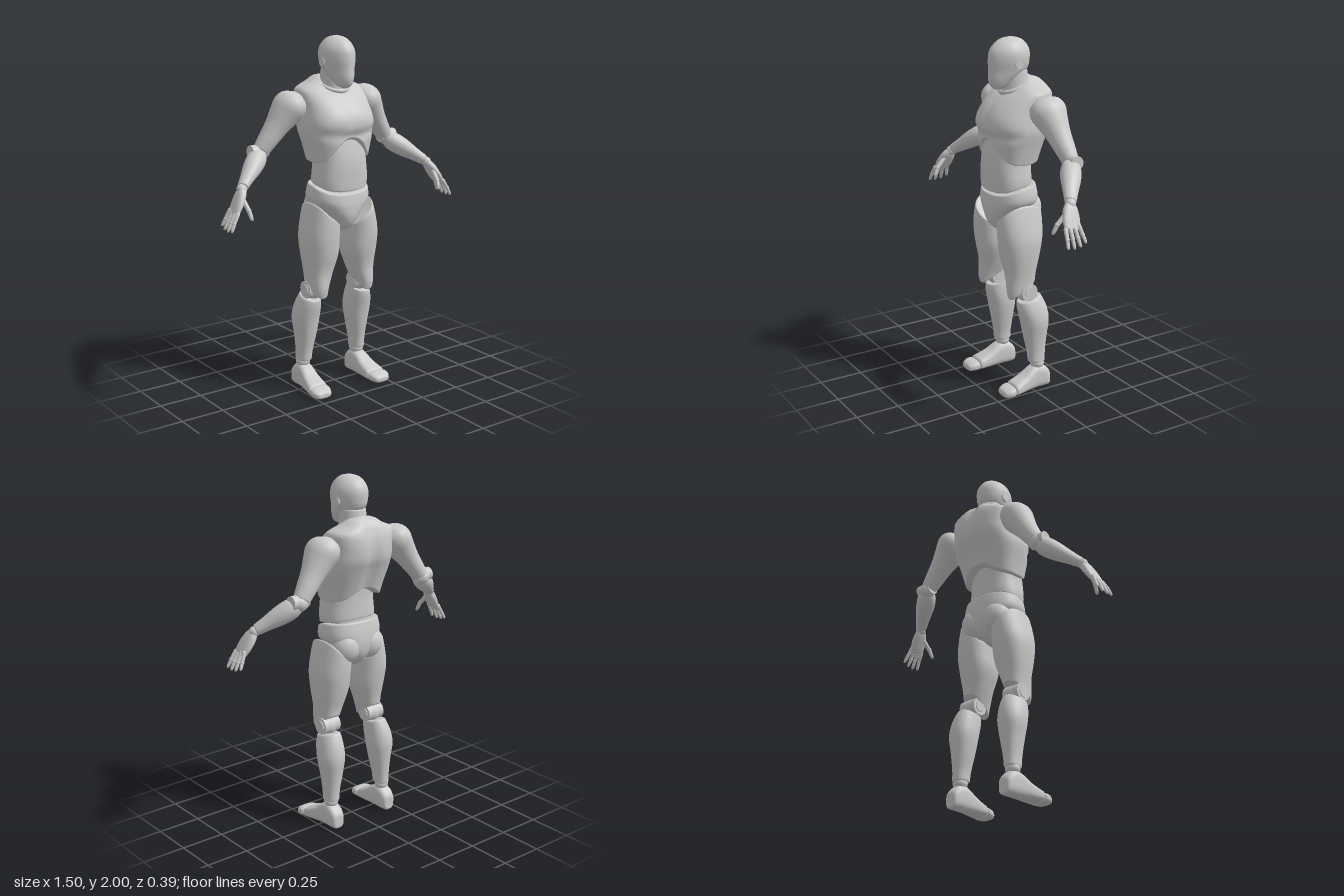
import * as THREE from 'three';

const material = new THREE.MeshStandardMaterial({ color: 0xcccccc, roughness: 0.7 });
const gauss = (v, w) => Math.exp(-((v / w) ** 2));

function add(parent, name, geometry) {
  const mesh = new THREE.Mesh(geometry, material);
  mesh.name = name;
  parent.add(mesh);
  return mesh;
}

// Smooth interpolation of section rows [key, cx, cz, rx, rz] by key.
function sample(rows, key) {
  let i = 0;
  while (i < rows.length - 2 && key > rows[i + 1][0]) i++;
  const slope = (j, c) => {
    const a = rows[Math.max(j - 1, 0)], b = rows[Math.min(j + 1, rows.length - 1)];
    return (b[c] - a[c]) / (b[0] - a[0]);
  };
  const h = rows[i + 1][0] - rows[i][0];
  const t = THREE.MathUtils.clamp((key - rows[i][0]) / h, 0, 1), t2 = t * t, t3 = t2 * t;
  return [1, 2, 3, 4].map((c) =>
    (2 * t3 - 3 * t2 + 1) * rows[i][c] + (t3 - 2 * t2 + t) * h * slope(i, c) +
    (3 * t2 - 2 * t3) * rows[i + 1][c] + (t3 - t2) * h * slope(i + 1, c));
}

// Closed body through superellipse sections stacked along y.
// lo and hi give the bottom and top rim height around the body.
function loft(rows, { n = 2, seg = 40, rings = 26, bevel = 0.006, lo, hi, warp } = {}) {
  const first = rows[0][0], last = rows[rows.length - 1][0];
  const pos = [], index = [];
  for (let i = 0; i <= rings; i++) {
    const v = (1 - Math.cos((Math.PI * i) / rings)) / 2;
    for (let j = 0; j < seg; j++) {
      const a = (j / seg) * Math.PI * 2, c = Math.cos(a), s = Math.sin(a);
      const y0 = lo ? lo(c, s) : first, y1 = hi ? hi(c, s) : last;
      const y = y0 + (y1 - y0) * v;
      const [cx, cz, rx, rz] = sample(rows, y);
      const d = Math.min(y - y0, y1 - y);
      const inset = d < bevel ? bevel - Math.sqrt(Math.max(0, bevel ** 2 - (bevel - d) ** 2)) : 0;
      const p = [
        cx + Math.max(rx - inset, 0.001) * Math.sign(c) * Math.abs(c) ** (2 / n), y,
        cz + Math.max(rz - inset, 0.001) * Math.sign(s) * Math.abs(s) ** (2 / n)];
      pos.push(...(warp ? warp(...p) : p));
    }
  }
  for (let i = 0; i < rings; i++) for (let j = 0; j < seg; j++) {
    const k = (j + 1) % seg, a = i * seg + j, b = i * seg + k;
    index.push(a, a + seg, b, b, a + seg, b + seg);
  }
  // Caps have their own corners so the rims stay crisp
  for (const ring of [0, rings]) {
    const start = pos.length / 3, centre = [0, 0, 0];
    for (let j = 0; j < seg; j++) for (let c = 0; c < 3; c++) {
      const value = pos[(ring * seg + j) * 3 + c];
      pos.push(value);
      centre[c] += value / seg;
    }
    pos.push(...centre);
    for (let j = 0; j < seg; j++) {
      const k = start + ((j + 1) % seg);
      index.push(start + seg, ...(ring ? [k, start + j] : [start + j, k]));
    }
  }
  const g = new THREE.BufferGeometry();
  g.setAttribute('position', new THREE.Float32BufferAttribute(pos, 3));
  g.setIndex(index);
  g.computeVertexNormals();
  return g;
}

// Limb from its far end to its near end; rows are [t, rx, rz].
function limb(parent, name, far, near, rows, options) {
  const a = new THREE.Vector3(...far), dir = new THREE.Vector3(...near).sub(a), len = dir.length();
  const mesh = add(parent, name, loft(rows.map(([t, rx, rz]) => [t * len, 0, 0, rx, rz]), options));
  mesh.position.copy(a);
  mesh.quaternion.setFromUnitVectors(new THREE.Vector3(0, 1, 0), dir.normalize());
  return mesh;
}

function ball(parent, name, [x, y, z], rx, ry = rx, rz = rx) {
  const g = new THREE.SphereGeometry(1, 28, 18).scale(rx, ry, rz);
  add(parent, name, g).position.set(x, y, z);
}

function disc(parent, name, [x, y, z], radius, width) {
  const g = new THREE.CylinderGeometry(radius, radius, width, 28).rotateZ(Math.PI / 2);
  add(parent, name, g).position.set(x, y, z);
}

function buildTrunk(body) {
  add(body, 'head', loft([
    [1.72, 0, 0.095, 0.015, 0.015], [1.735, 0, 0.092, 0.045, 0.042], [1.775, 0, 0.07, 0.066, 0.079],
    [1.82, 0, 0.035, 0.082, 0.113], [1.88, 0, 0.027, 0.095, 0.121], [1.93, 0, 0.024, 0.09, 0.115],
    [1.97, 0, 0.02, 0.065, 0.085], [1.99, 0, 0.018, 0.038, 0.05], [2, 0, 0.018, 0.001, 0.001],
  ], { bevel: 0, warp: (x, y, z) => [x * (1 - 1.6 * Math.max(0, z - 0.04)), y, z] }));
  add(body, 'neck', loft([
    [1.66, 0, -0.02, 0.09, 0.1], [1.73, 0, -0.012, 0.077, 0.085], [1.82, 0, 0, 0.072, 0.08]]));
  const collar = add(body, 'collar', new THREE.TorusGeometry(0.08, 0.012, 12, 40).rotateX(Math.PI / 2));
  collar.position.set(0, 1.735, -0.015);
  collar.rotation.x = 0.38;
  collar.scale.z = 1.12;

  // Chest shell with arched lower rim, breast line and spine groove
  add(body, 'chest', loft([
    [1.3, 0, 0.025, 0.168, 0.125], [1.4, 0, 0.018, 0.188, 0.148], [1.5, 0, 0.008, 0.21, 0.174],
    [1.56, 0, -0.006, 0.207, 0.184], [1.62, 0, -0.026, 0.2, 0.17], [1.68, 0, -0.052, 0.198, 0.138],
    [1.715, 0, -0.07, 0.188, 0.108], [1.745, 0, -0.08, 0.12, 0.085], [1.775, 0, -0.085, 0.07, 0.05],
    [1.785, 0, -0.085, 0.02, 0.015],
  ], {
    n: 2.6, seg: 72, rings: 44,
    lo: (c, s) => 1.32 + (s > 0 ? 0.135 : 0.07) * gauss(c, 0.55) * Math.min(1, Math.abs(s) * 2),
    warp: (x, y, z) => {
      const front = THREE.MathUtils.smoothstep(z, 0.02, 0.08);
      const back = THREE.MathUtils.smoothstep(-z, 0.06, 0.13);
      const crease = 0.014 * gauss(y - 1.465 - 0.25 * Math.abs(x) ** 1.5, 0.028);
      const cleft = 0.008 * gauss(x, 0.016) * gauss(y - 1.57, 0.09);
      return [x, y, z - front * (crease + cleft) + back * 0.018 * gauss(x, 0.035)];
    },
  }));
  add(body, 'abdomen', loft([
    [1.14, 0, 0.045, 0.152, 0.118], [1.22, 0, 0.045, 0.16, 0.122], [1.32, 0, 0.045, 0.15, 0.122],
    [1.42, 0, 0.035, 0.15, 0.115], [1.5, 0, 0.03, 0.14, 0.1],
  ], { n: 2.4, lo: (c, s) => 1.19 - 0.03 * Math.max(0, s) + 0.02 * Math.max(0, -s) }));
  add(body, 'waistJoint', loft([[1.08, 0, 0.03, 0.14, 0.11], [1.26, 0, 0.03, 0.14, 0.1]], { n: 2.3 }));
  add(body, 'pelvis', loft([
    [0.93, 0, 0.04, 0.025, 0.07], [0.96, 0, 0.035, 0.05, 0.11], [1.01, 0, 0.03, 0.09, 0.137],
    [1.07, 0, 0.027, 0.15, 0.144], [1.1, 0, 0.026, 0.176, 0.142], [1.14, 0, 0.025, 0.18, 0.137],
    [1.2, 0, 0.025, 0.168, 0.125],
  ], { n: 2.4, hi: (c, s) => 1.19 - 0.045 * Math.max(0, s) + 0.01 * Math.max(0, -s) }));
}

function buildLeg(side) {
  ball(side, 'glute', [0.08, 1.055, -0.04], 0.085, 0.095, 0.083);
  add(side, 'thigh', loft([
    [0.54, 0.155, 0.055, 0.045, 0.06], [0.6, 0.156, 0.048, 0.052, 0.08], [0.7, 0.142, 0.04, 0.076, 0.088],
    [0.8, 0.132, 0.038, 0.098, 0.111], [0.9, 0.132, 0.035, 0.102, 0.127], [1, 0.122, 0.033, 0.092, 0.132],
    [1.1, 0.113, 0.03, 0.074, 0.124],
  ], { n: 2.3, hi: (c) => 1.02 + 0.075 * c, lo: (c, s) => 0.605 - 0.05 * s }));
  ball(side, 'knee', [0.16, 0.59, 0.02], 0.05, 0.055, 0.055);
  disc(side, 'kneeDisc', [0.16, 0.595, 0.018], 0.05, 0.108);
  disc(side, 'kneeCap', [0.16, 0.595, 0.018], 0.032, 0.118);
  add(side, 'shin', loft([
    [0.16, 0.188, -0.042, 0.042, 0.05], [0.22, 0.185, -0.04, 0.045, 0.054], [0.32, 0.18, -0.036, 0.06, 0.069],
    [0.42, 0.179, -0.032, 0.074, 0.084], [0.5, 0.174, -0.016, 0.066, 0.086], [0.57, 0.165, 0, 0.05, 0.07],
  ], { n: 2.2, hi: (c, s) => 0.55 - 0.015 * s }));
  ball(side, 'ankle', [0.19, 0.15, -0.045], 0.042, 0.038, 0.04);

  // Foot and toe run along z, flat on the ground
  const shoe = (name, rows) => add(side, name, loft(
    rows.map(([z, x, w, h]) => [z, x, -h / 2, w, h / 2]), { n: 3, bevel: 0.012 }).rotateX(Math.PI / 2));
  shoe('foot', [[-0.12, 0.19, 0.036, 0.09], [-0.085, 0.19, 0.046, 0.125], [-0.04, 0.19, 0.047, 0.14],
    [0, 0.192, 0.048, 0.128], [0.05, 0.196, 0.054, 0.095], [0.13, 0.203, 0.062, 0.06]]);
  shoe('toe', [[0.132, 0.203, 0.062, 0.058], [0.17, 0.206, 0.059, 0.05], [0.2, 0.205, 0.042, 0.036]]);
}

function buildArm(side) {
  limb(side, 'upperArm', [0.42, 1.395, -0.095], [0.205, 1.69, -0.055], [
    [0, 0.046, 0.046], [0.15, 0.053, 0.055], [0.4, 0.064, 0.068], [0.62, 0.081, 0.088],
    [0.78, 0.088, 0.104], [0.92, 0.066, 0.085], [1, 0.02, 0.03]], { bevel: 0.004 });
  ball(side, 'elbow', [0.432, 1.382, -0.097], 0.046);
  disc(side, 'elbowDisc', [0.438, 1.39, -0.095], 0.038, 0.1);
  limb(side, 'forearm', [0.62, 1.24, 0.038], [0.435, 1.375, -0.09], [
    [0, 0.028, 0.033], [0.25, 0.036, 0.042], [0.6, 0.051, 0.056], [0.85, 0.053, 0.055], [1, 0.04, 0.043]]);
  ball(side, 'wrist', [0.628, 1.232, 0.044], 0.029);
  limb(side, 'palm', [0.698, 1.115, 0.078], [0.628, 1.232, 0.048], [
    [0, 0.015, 0.045], [0.35, 0.02, 0.05], [0.75, 0.023, 0.042], [1, 0.02, 0.026]], { n: 2.6 });

  // Each finger has two segments, bent at a ball knuckle
  const finger = (name, a, b, c, r) => {
    limb(side, name + 'Base', b, a, [[0, r * 0.9, r * 0.9], [1, r, r]], { seg: 16, rings: 8, bevel: 0.003 });
    limb(side, name + 'Tip', c, b, [[0, r * 0.3, r * 0.3], [0.18, r * 0.7, r * 0.7], [1, r * 0.9, r * 0.9]],
      { seg: 16, rings: 12, bevel: 0 });
    for (const p of [a, b]) ball(side, name + 'Knuckle', p, r);
  };
  [0.95, 1, 0.96, 0.82].forEach((len, i) => {
    const z = 0.118 - i * 0.027, spread = (1.3 - i) * 0.011;
    finger('finger' + (i + 1), [0.698, 1.122 + i * 0.003, z],
      [0.698 + 0.028 * len, 1.122 - 0.047 * len, z + spread * 0.5],
      [0.698 + 0.05 * len, 1.122 - 0.094 * len, z + spread], 0.0115);
  });
  finger('thumb', [0.645, 1.185, 0.085], [0.64, 1.135, 0.132], [0.633, 1.085, 0.155], 0.0135);
}

export function createModel() {
  const figure = new THREE.Group();
  figure.name = 'jointedFigure';
  buildTrunk(figure);
  for (const [name, sign] of [['left', 1], ['right', -1]]) {
    const side = new THREE.Group();
    side.name = name + 'Limbs';
    side.scale.x = sign;
    disc(side, 'ear', [0.088, 1.86, 0.015], 0.024, 0.018);
    buildLeg(side);
    buildArm(side);
    figure.add(side);
  }
  return figure;
}
